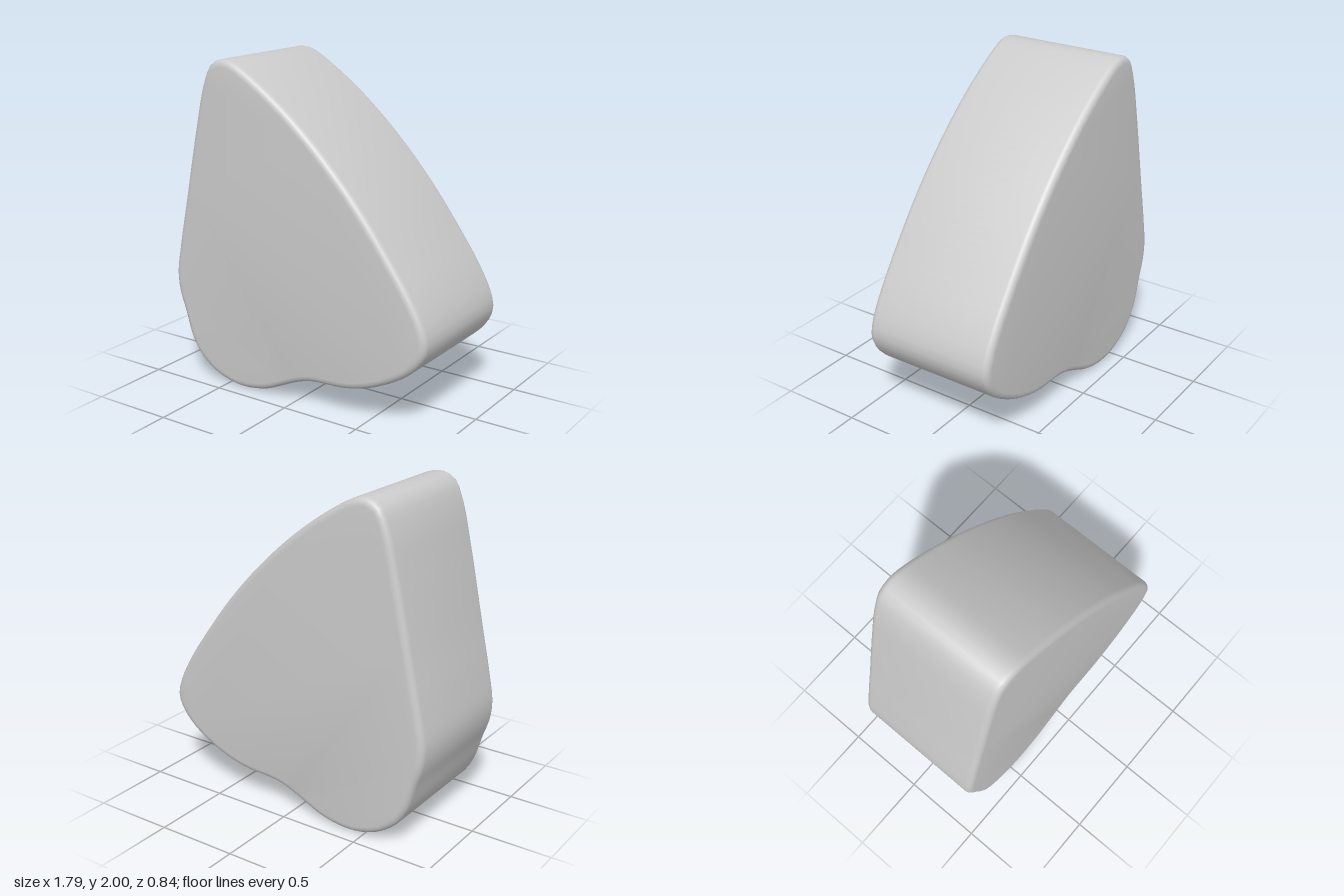
import * as THREE from 'three';
import { toCreasedNormals } from 'three/addons/utils/BufferGeometryUtils.js';

// Outline, counter-clockwise from the peak
const OUTLINE = [
  [-0.5, 2], [-0.58, 1.965], [-0.64, 1.84], [-0.7, 1.6], [-0.75, 1.37], [-0.8, 1.13],
  [-0.86, 0.85], [-0.893, 0.65], [-0.88, 0.53], [-0.84, 0.41], [-0.79, 0.25],
  [-0.73, 0.15], [-0.62, 0.06], [-0.5, 0.013], [-0.4, 0], [-0.3, 0.008],
  [-0.19, 0.035], [-0.08, 0.085], [0.04, 0.137], [0.13, 0.16], [0.35, 0.175],
  [0.5, 0.21], [0.65, 0.275], [0.78, 0.36], [0.86, 0.45], [0.892, 0.54],
  [0.875, 0.63], [0.8, 0.78], [0.65, 1.0], [0.45, 1.26], [0.23, 1.5],
  [0, 1.71], [-0.2, 1.86], [-0.36, 1.96], [-0.43, 1.992],
];
const DEPTH = 0.84;
const BEVEL = 0.04;

export function createModel() {
  const group = new THREE.Group();
  group.name = 'roundedWedge';

  // Smooth closed curve through the outline
  const curve = new THREE.CatmullRomCurve3(
    OUTLINE.map(([x, y]) => new THREE.Vector3(x, y, 0)), true, 'centripetal');
  const points = curve.getSpacedPoints(120).slice(0, -1);
  const shape = new THREE.Shape(points.map((p) => new THREE.Vector2(p.x, p.y)));

  // Thick slab with softly rounded rims, kept inside the outline
  const geometry = new THREE.ExtrudeGeometry(shape, {
    depth: DEPTH - 2 * BEVEL,
    bevelThickness: BEVEL,
    bevelSize: BEVEL,
    bevelOffset: -BEVEL,
    bevelSegments: 4,
  });
  geometry.translate(0, 0, BEVEL - DEPTH / 2);

  const body = new THREE.Mesh(
    toCreasedNormals(geometry, 0.7),
    new THREE.MeshStandardMaterial({ color: 0xcccccc }));
  body.name = 'body';
  group.add(body);
  return group;
}
